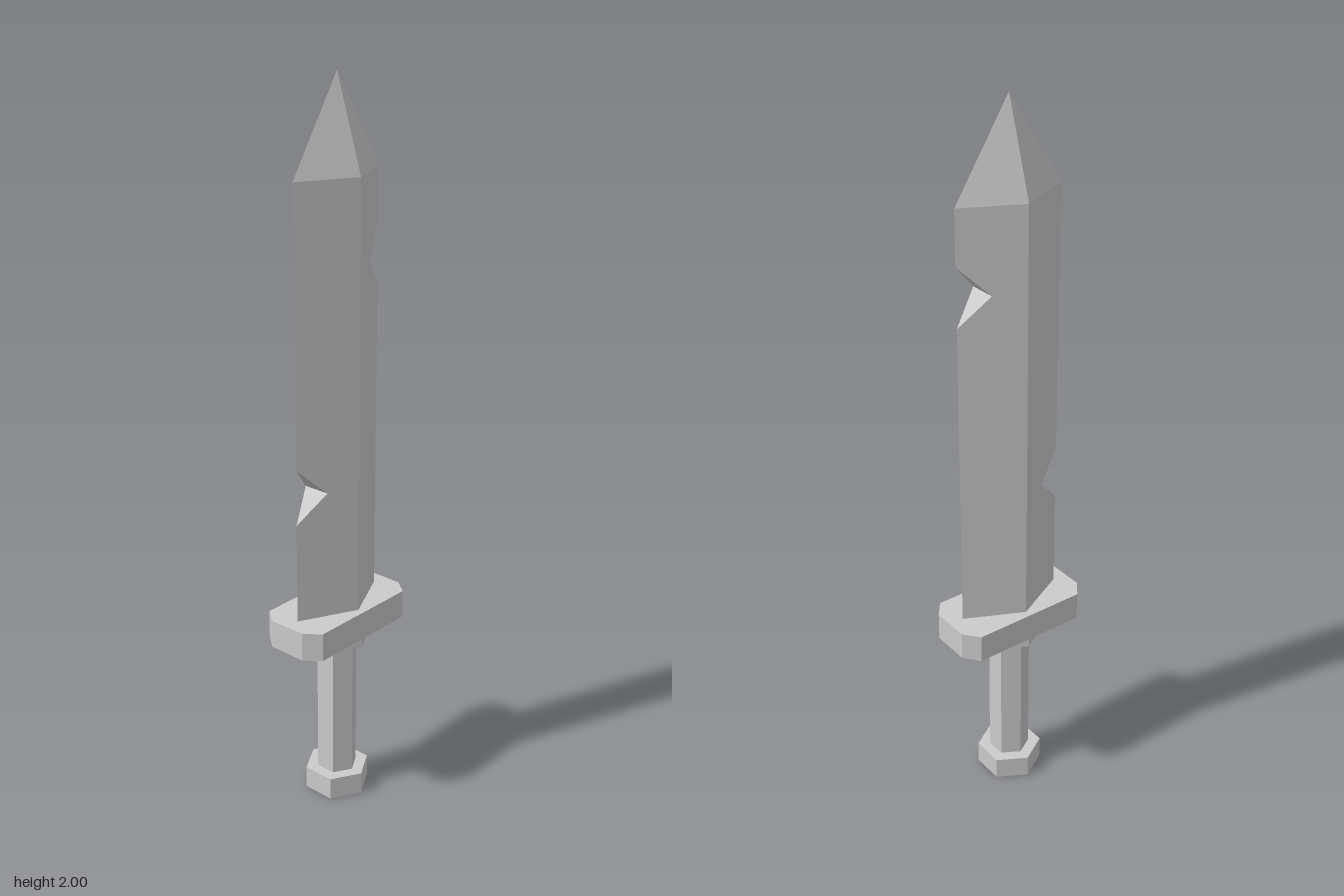
import * as THREE from 'three';

const material = new THREE.MeshStandardMaterial({ color: 0xcccccc, flatShading: true, side: THREE.DoubleSide });

function addPart(group, name, geometry, y = 0) {
  const mesh = new THREE.Mesh(geometry, material);
  mesh.name = name;
  mesh.position.y = y;
  group.add(mesh);
}

// Hexagonal prism with a flat face to the front, from y0 to y1
function addHexPrism(group, name, radius, y0, y1) {
  addPart(group, name, new THREE.CylinderGeometry(radius, radius, y1 - y0, 6, 1, false, Math.PI / 6), (y0 + y1) / 2);
}

// Eight-sided crossguard plate
function guardGeometry(height) {
  const shape = new THREE.Shape([
    [0.098, -0.166], [0.098, 0.166], [0.055, 0.2], [-0.055, 0.2],
    [-0.098, 0.166], [-0.098, -0.166], [-0.055, -0.2], [0.055, -0.2],
  ].map(([x, y]) => new THREE.Vector2(x, y)));
  return new THREE.ExtrudeGeometry(shape, { depth: height, bevelEnabled: false }).rotateX(-Math.PI / 2);
}

// Diamond-section blade; a notch cuts the front or back edge back to a flat
function bladeGeometry() {
  const W = 0.078, D = 0.158, N = 0.08;
  // height, front edge z, back edge z, scale
  const sections = [
    [0.585, D, D, 1],
    [0.865, D, D, 1], [0.943, N, D, 1], [1.02, D, D, 1],
    [1.45, D, D, 1], [1.53, D, N, 1], [1.61, D, D, 1],
    [1.755, D, D, 1], [2, D, D, 0],
  ];
  const rings = sections.map(([y, front, back, s]) => {
    const xf = W * (1 - front / D), xb = W * (1 - back / D);
    return [[xf, front], [W, 0], [xb, -back], [-xb, -back], [-W, 0], [-xf, front]]
      .map(([x, z]) => new THREE.Vector3(x * s, y, z * s));
  });
  const points = [];
  // Skip triangles that collapse where an edge is sharp
  const tri = (a, b, c) => {
    if (new THREE.Triangle(a, b, c).getArea() > 1e-7) points.push(a, b, c);
  };
  for (let r = 0; r < rings.length - 1; r++) {
    for (let i = 0; i < 6; i++) {
      const j = (i + 1) % 6, lo = rings[r], hi = rings[r + 1];
      tri(lo[i], lo[j], hi[j]);
      tri(lo[i], hi[j], hi[i]);
    }
  }
  // Underside
  const base = rings[0];
  tri(base[0], base[4], base[1]);
  tri(base[1], base[4], base[2]);
  const geometry = new THREE.BufferGeometry().setFromPoints(points);
  geometry.computeVertexNormals();
  return geometry;
}

export function createModel() {
  const sword = new THREE.Group();
  sword.name = 'sword';
  addHexPrism(sword, 'pommel', 0.092, 0, 0.065);
  addHexPrism(sword, 'grip', 0.057, 0.065, 0.475);
  addHexPrism(sword, 'collar', 0.092, 0.475, 0.505);
  addPart(sword, 'crossguard', guardGeometry(0.08), 0.505);
  addPart(sword, 'blade', bladeGeometry());
  return sword;
}
